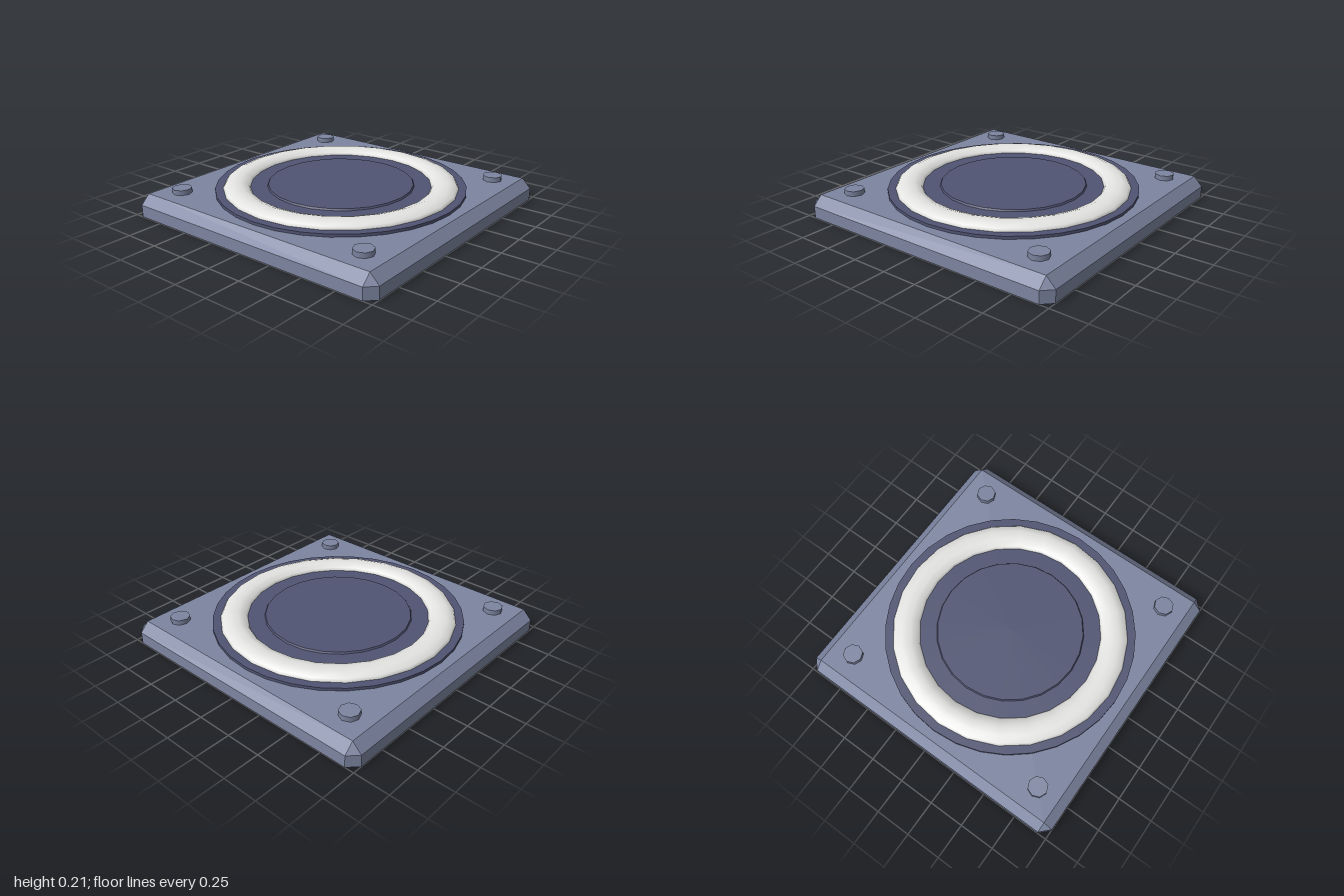
import * as THREE from 'three';
import { ConvexGeometry } from 'three/addons/geometries/ConvexGeometry.js';

export function createModel() {
  const model = new THREE.Group();
  const material = (name, color) => {
    const m = new THREE.MeshStandardMaterial({ color });
    m.name = name;
    return m;
  };
  const blueGrey = material('blueGrey', 0x7d85a1);
  const darkBlue = material('darkBlue', 0x505472);
  const white = material('white', 0xe4e4e2);

  const add = (name, geometry, mat, x, y, z) => {
    const mesh = new THREE.Mesh(geometry, mat);
    mesh.name = name;
    mesh.position.set(x, y, z);
    model.add(mesh);
    return mesh;
  };

  // Square slab with cut corners and a chamfered upper edge
  const inset = 0.935, shoulder = 0.085, top = 0.15;
  const points = [];
  for (const sx of [-1, 1]) {
    for (const sz of [-1, 1]) {
      for (const y of [0, shoulder]) {
        points.push(new THREE.Vector3(sx, y, sz * inset));
        points.push(new THREE.Vector3(sx * inset, y, sz));
      }
      points.push(new THREE.Vector3(sx * inset, top, sz * inset));
    }
  }
  add('baseSlab', new ConvexGeometry(points), blueGrey, 0, 0, 0);

  // Bolt heads near the corners
  const bolt = new THREE.CylinderGeometry(0.068, 0.068, 0.04, 8);
  for (const sx of [-1, 1]) {
    for (const sz of [-1, 1]) add('bolt', bolt, blueGrey, sx * 0.775, 0.165, sz * 0.775);
  }

  // Dark round plate
  add('roundPlate', new THREE.CylinderGeometry(0.873, 0.873, 0.03, 32), darkBlue, 0, 0.155, 0);

  // Flattened pale ring
  const ring = new THREE.TorusGeometry(0.725, 0.1, 10, 24);
  ring.rotateX(-Math.PI / 2);
  ring.scale(1, 0.5, 1);
  add('ring', ring, white, 0, 0.16, 0);

  // Slightly raised centre pad with a sloping rim
  add('centrePad', new THREE.CylinderGeometry(0.507, 0.518, 0.02, 24), darkBlue, 0, 0.172, 0);

  return model;
}
